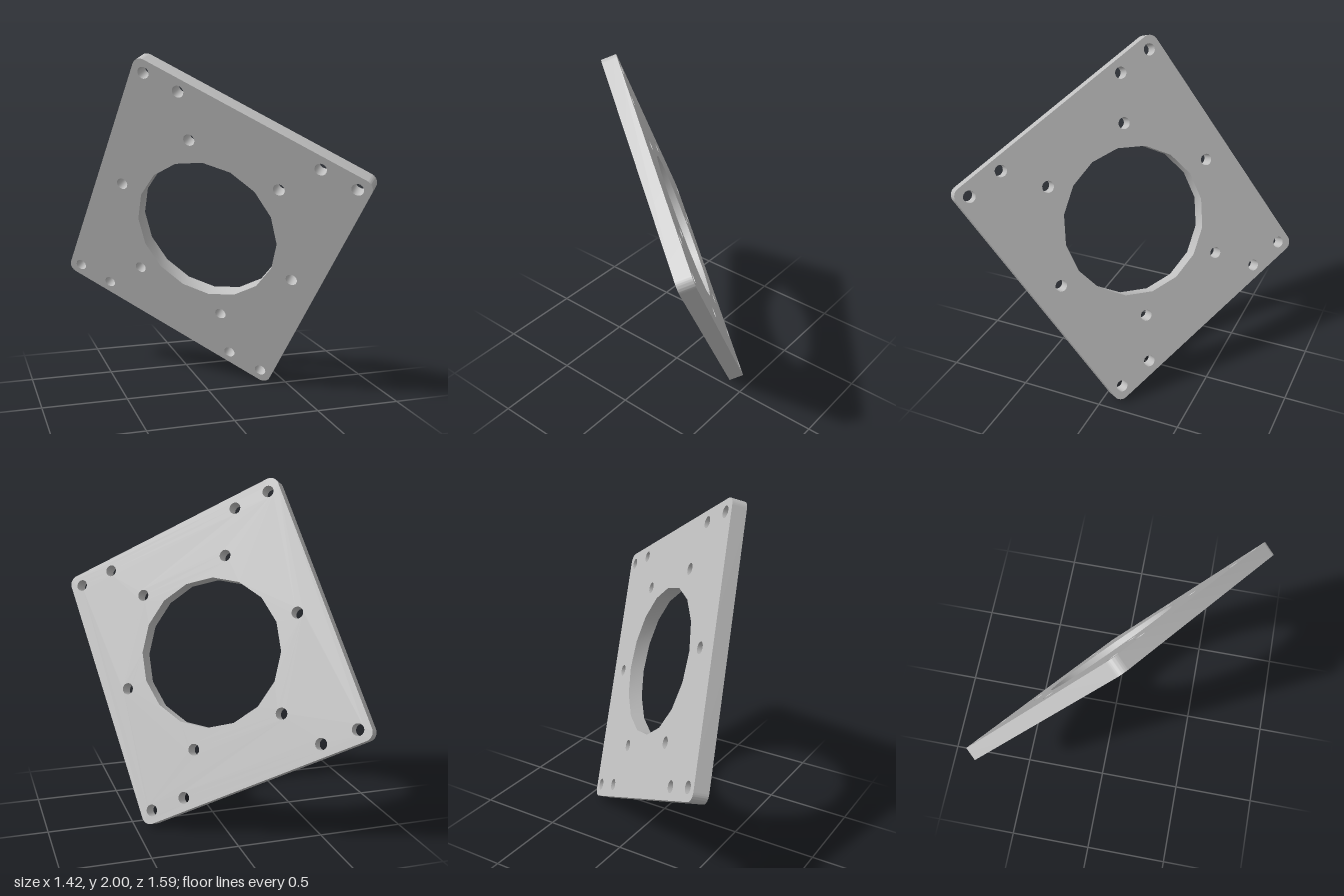
import * as THREE from 'three';
import { toCreasedNormals } from 'three/addons/utils/BufferGeometryUtils.js';

const UNIT = 0.0147; // one millimetre in model units

// Punch a round hole in the plate outline
function addHole(shape, x, y, r) {
  const hole = new THREE.Path();
  hole.absarc(x, y, r, 0, Math.PI * 2, true);
  shape.holes.push(hole);
}

// Rounded rectangle centred on the origin
function roundedRect(w, h, r) {
  const s = new THREE.Shape();
  const a = w / 2 - r, b = h / 2 - r, q = Math.PI / 2;
  s.absarc(a, b, r, 0, q, false);
  s.absarc(-a, b, r, q, 2 * q, false);
  s.absarc(-a, -b, r, 2 * q, 3 * q, false);
  s.absarc(a, -b, r, 3 * q, 4 * q, false);
  s.closePath();
  return s;
}

export function createModel() {
  const group = new THREE.Group();
  group.name = 'mountingPlate';
  const grey = new THREE.MeshStandardMaterial({ color: 0xc0c0c0 });
  grey.name = 'light grey';

  const thickness = 6;
  const shape = roundedRect(100, 110, 3.6);

  // Large central opening
  addHole(shape, 0, 0, 30);

  // Ring of six bolt holes
  for (let i = 0; i < 6; i++) {
    const a = (i * Math.PI) / 3;
    addHole(shape, 39 * Math.cos(a), 39 * Math.sin(a), 2.35);
  }

  // Paired holes along the two short edges
  for (const y of [-50, 50]) {
    for (const x of [-45, -30, 30, 45]) addHole(shape, x, y, 2.35);
  }

  let geo = new THREE.ExtrudeGeometry(shape, {
    depth: thickness, bevelEnabled: false, curveSegments: 8,
  });
  geo.translate(0, 0, -thickness / 2);
  geo.scale(UNIT, UNIT, UNIT);
  geo = toCreasedNormals(geo, 0.5);

  // Tilt the plate: u runs along its width, v along its height
  const u = new THREE.Vector3(1.005, -0.605, 0.63).normalize();
  const n = u.clone().cross(new THREE.Vector3(-0.247, -1.215, -0.787)).normalize();
  const v = n.clone().cross(u);
  const plate = new THREE.Mesh(geo, grey);
  plate.name = 'plate';
  plate.quaternion.setFromRotationMatrix(new THREE.Matrix4().makeBasis(u, v, n));
  plate.position.y = 1;
  group.add(plate);
  return group;
}
